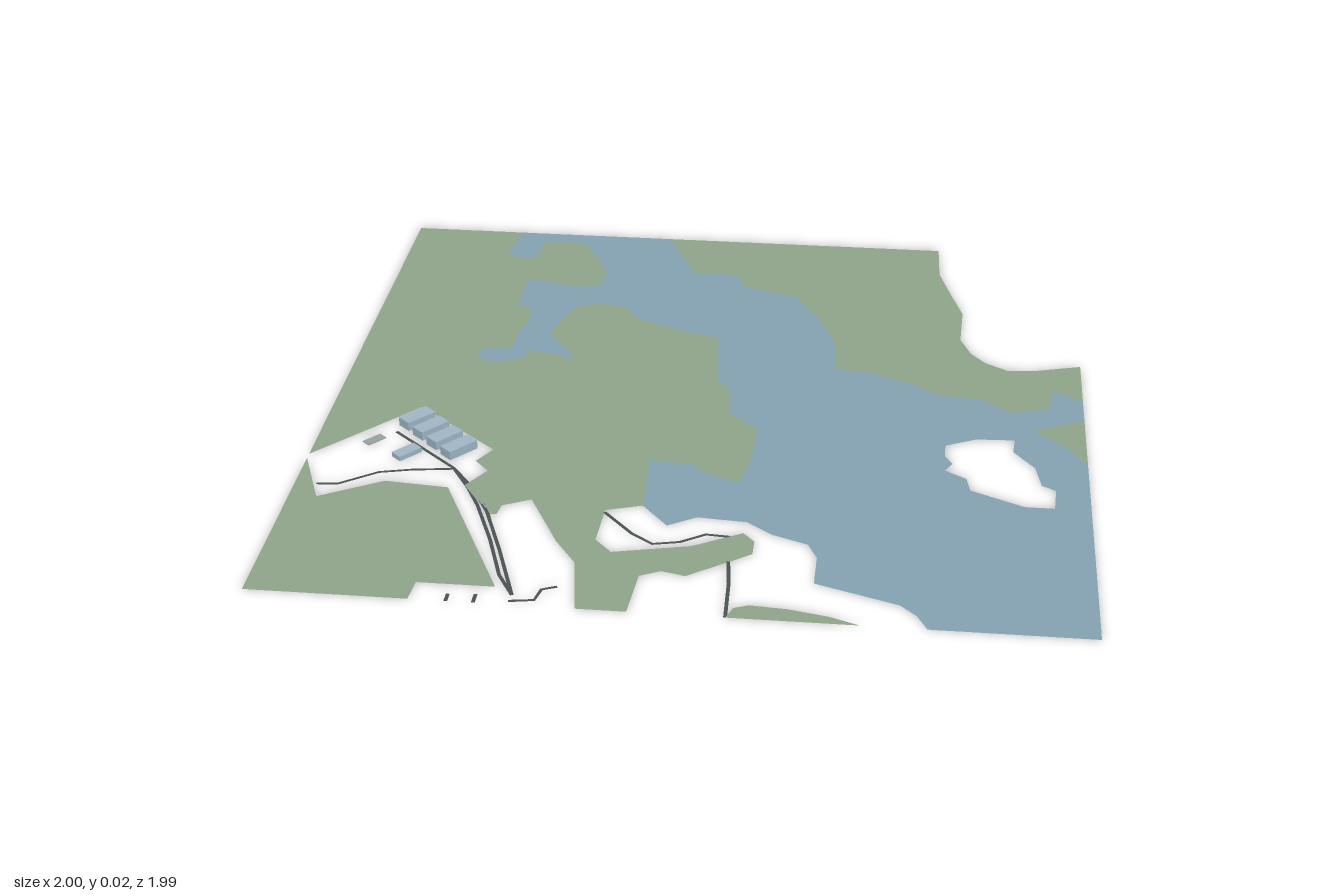
import * as THREE from 'three';

const material = (color) => new THREE.MeshStandardMaterial({ color, side: THREE.DoubleSide });
const LAND = material(0x8fa58a);
const WATER = material(0x84a2b3);
const ROAD = material(0x4c5154);
const BUILDING = material(0xa0b7c6);
const PAVING = material(0x9a9f9f);

// all outlines are lists of [x, z] on the ground
const toPoints = (list) => list.map(([x, z]) => new THREE.Vector2(x, -z));

// flat sheet lying on the ground
function sheet(name, outline, mat, holes = []) {
  const shape = new THREE.Shape(toPoints(outline));
  holes.forEach((h) => shape.holes.push(new THREE.Path(toPoints(h))));
  const mesh = new THREE.Mesh(new THREE.ShapeGeometry(shape).rotateX(-Math.PI / 2), mat);
  mesh.name = name;
  return mesh;
}

// narrow ribbon following a path
function road(path, width = 0.009) {
  const left = [], right = [];
  path.forEach(([x, z], i) => {
    const a = path[Math.max(i - 1, 0)], b = path[Math.min(i + 1, path.length - 1)];
    const dx = b[0] - a[0], dz = b[1] - a[1];
    const k = width / 2 / Math.hypot(dx, dz);
    left.push([x - dz * k, z + dx * k]);
    right.unshift([x + dz * k, z - dx * k]);
  });
  return sheet('road', [...left, ...right], ROAD);
}

// shorelines shared by the water and the land beside it
const westShore = [
  [-0.68, -1], [-0.7, -0.86], [-0.67, -0.83], [-0.61, -0.83], [-0.6, -0.94], [-0.48, -0.95],
  [-0.42, -0.84], [-0.38, -0.75], [-0.39, -0.67], [-0.46, -0.65], [-0.56, -0.68], [-0.61, -0.68],
  [-0.61, -0.52], [-0.57, -0.5], [-0.56, -0.43], [-0.58, -0.34], [-0.58, -0.25], [-0.66, -0.25],
  [-0.67, -0.19], [-0.61, -0.17], [-0.54, -0.2], [-0.53, -0.25], [-0.45, -0.23], [-0.4, -0.2],
  [-0.41, -0.24], [-0.49, -0.35], [-0.47, -0.43], [-0.44, -0.52], [-0.37, -0.555], [-0.29, -0.53],
  [-0.26, -0.47], [-0.13, -0.41], [-0.01, -0.37], [0.01, -0.13], [0.05, -0.08], [0.06, 0.05],
  [0.14, 0.12], [0.14, 0.25], [0.12, 0.4], [0.03, 0.36], [-0.01, 0.32], [-0.12, 0.31], [-0.11, 0.53],
];
const southShore = [
  [-0.04, 0.615], [0.03, 0.57], [0.155, 0.58], [0.22, 0.63], [0.31, 0.665], [0.335, 0.72],
  [0.335, 0.83], [0.54, 0.9], [0.58, 0.94], [0.605, 0.99], [1, 0.99],
];
const headland = [[1, 0.23], [0.95, 0.14], [0.865, 0.06], [1, -0.01]];
const eastShore = [
  [1, -0.11], [0.92, -0.16], [0.91, -0.06], [0.81, -0.03], [0.73, -0.09], [0.61, -0.11],
  [0.54, -0.16], [0.41, -0.22], [0.33, -0.22], [0.32, -0.37], [0.27, -0.51], [0.19, -0.65],
  [0.03, -0.7], [0.01, -0.775], [-0.12, -0.775], [-0.17, -0.88], [-0.22, -1],
];
const islandGap = [
  [0.635, 0.16], [0.715, 0.12], [0.815, 0.115], [0.81, 0.175], [0.865, 0.25], [0.88, 0.335],
  [0.915, 0.355], [0.91, 0.44], [0.835, 0.44], [0.7, 0.375], [0.69, 0.32], [0.635, 0.285],
  [0.655, 0.25], [0.635, 0.215],
];

// land edge round the compound and the southern spits
const southLandEdge = [
  [-0.2, 0.56], [-0.205, 0.695], [-0.16, 0.745], [0.03, 0.7], [0.15, 0.63], [0.18, 0.665],
  [0.18, 0.72], [0.03, 0.83], [-0.03, 0.815], [-0.08, 0.84], [-0.09, 0.99], [-0.21, 0.99],
  [-0.24, 0.8], [-0.3, 0.71], [-0.39, 0.53], [-0.46, 0.565], [-0.465, 0.605], [-0.485, 0.61],
  [-0.57, 0.48], [-0.525, 0.405], [-0.565, 0.36], [-0.53, 0.3], [-0.76, 0.1], [-1, 0.37],
];
const bayEdge = [
  [0.6, -1], [0.605, -0.84], [0.64, -0.71], [0.675, -0.59], [0.67, -0.43], [0.7, -0.35],
  [0.74, -0.3], [0.8, -0.262], [0.87, -0.267], [1, -0.305],
];

export function createModel() {
  const model = new THREE.Group();
  model.name = 'terrainMap';

  // water and land fit together in one plane
  model.add(
    sheet('water', [...westShore, ...southShore, ...headland, ...eastShore], WATER, [islandGap]),
    sheet('westLand', [[-1, -1], ...westShore, ...southLandEdge], LAND),
    sheet('eastLand', [...bayEdge, ...eastShore], LAND),
    sheet('headland', headland, LAND),
    sheet('southWestLand', [[-1, 0.39], [-0.93, 0.57], [-0.775, 0.48], [-0.61, 0.495],
      [-0.41, 0.92], [-0.6, 0.92], [-0.605, 0.99], [-1, 0.99]], LAND),
    sheet('southSpit', [[0.14, 0.99], [0.155, 0.95], [0.19, 0.935], [0.28, 0.942],
      [0.38, 0.963], [0.45, 0.99]], LAND),
  );

  // roads
  const roads = new THREE.Group();
  roads.name = 'roads';
  [
    [[-0.945, 0.51], [-0.89, 0.505], [-0.8, 0.44], [-0.72, 0.42], [-0.615, 0.405]],
    [[-0.8, 0.235], [-0.615, 0.4], [-0.56, 0.49], [-0.52, 0.57], [-0.46, 0.72], [-0.41, 0.87], [-0.365, 0.95]],
    [[-0.615, 0.4], [-0.54, 0.5], [-0.49, 0.6], [-0.43, 0.76], [-0.365, 0.95]],
    [[-0.37, 0.975], [-0.31, 0.965], [-0.3, 0.92], [-0.265, 0.905]],
    [[-0.515, 0.96], [-0.515, 0.99]],
    [[-0.45, 0.955], [-0.45, 0.99]],
    [[-0.2, 0.57], [-0.12, 0.66], [-0.065, 0.7], [0.0, 0.685], [0.06, 0.645], [0.12, 0.65]],
    [[0.125, 0.755], [0.135, 0.85], [0.14, 0.99]],
  ].forEach((path) => roads.add(road(path)));
  model.add(roads);

  // compound: four equal halls, a lower shed and a paved pad
  const compound = new THREE.Group();
  compound.name = 'compound';
  const block = (name, x, z, length, width, height, mat) => {
    const mesh = new THREE.Mesh(new THREE.BoxGeometry(length, height, width), mat);
    mesh.name = name;
    mesh.position.set(x, height / 2, z);
    mesh.rotation.y = 0.85;
    compound.add(mesh);
  };
  for (let i = 0; i < 4; i++) {
    block('hall', -0.755 + i * 0.046, 0.182 + i * 0.045, 0.088, 0.042, 0.024, BUILDING);
  }
  block('shed', -0.748, 0.345, 0.07, 0.034, 0.013, BUILDING);
  block('pad', -0.848, 0.283, 0.056, 0.027, 0.002, PAVING);
  model.add(compound);

  return model;
}
